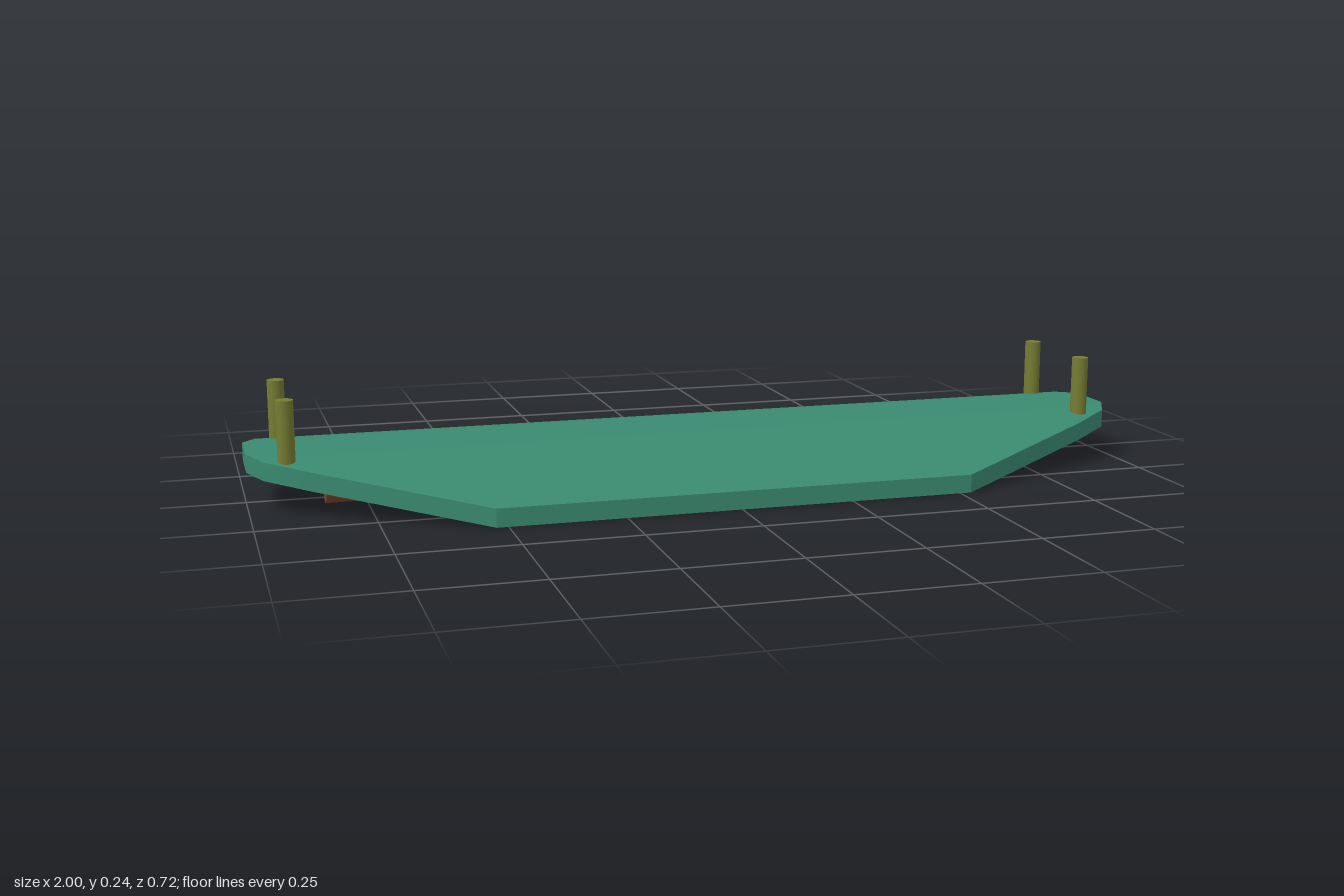
import * as THREE from 'three';

const mat = (color) => new THREE.MeshStandardMaterial({ color });

// Rows across the deck: [z, half length in x, top height]
const half = [[0.06, 1, 0.12], [0.12, 0.97, 0.114], [0.18, 0.88, 0.1], [0.36, 0.525, 0.041]];
const rows = [...half.map(([z, x, y]) => [-z, x, y]).reverse(), ...half];
const thickness = 0.04;

// A segmented box whose rows are bent into an arched, tapered deck
function deckGeometry() {
  const n = rows.length - 1;
  const geo = new THREE.BoxGeometry(2, 2, 2, 1, 1, n);
  const p = geo.attributes.position;
  for (let i = 0; i < p.count; i++) {
    const [z, x, y] = rows[Math.round((p.getZ(i) + 1) / 2 * n)];
    p.setXYZ(i, Math.sign(p.getX(i)) * x, p.getY(i) > 0 ? y : y - thickness, z);
  }
  geo.computeVertexNormals();
  return geo;
}

export function createModel() {
  const model = new THREE.Group();
  const add = (name, geo, material, x = 0, y = 0, z = 0) => {
    const mesh = new THREE.Mesh(geo, material);
    mesh.name = name;
    mesh.position.set(x, y, z);
    model.add(mesh);
  };

  add('deck', deckGeometry(), mat(0x3a8a70));

  // Two long rails under the deck, four short posts at its ends
  const railGeo = new THREE.CylinderGeometry(0.036, 0.036, 1.68, 32).rotateZ(Math.PI / 2);
  const postGeo = new THREE.CylinderGeometry(0.0185, 0.0185, 0.143, 24);
  const brown = mat(0x7d4426);
  const olive = mat(0x757c32);
  for (const side of [1, -1]) {
    add(side > 0 ? 'frontRail' : 'backRail', railGeo, brown, 0, 0.043, side * 0.073);
    for (const x of [0.906, -0.92]) {
      add((side > 0 ? 'front' : 'back') + (x > 0 ? 'LeftPost' : 'RightPost'), postGeo, olive, x, 0.1715, side * 0.121);
    }
  }
  return model;
}
